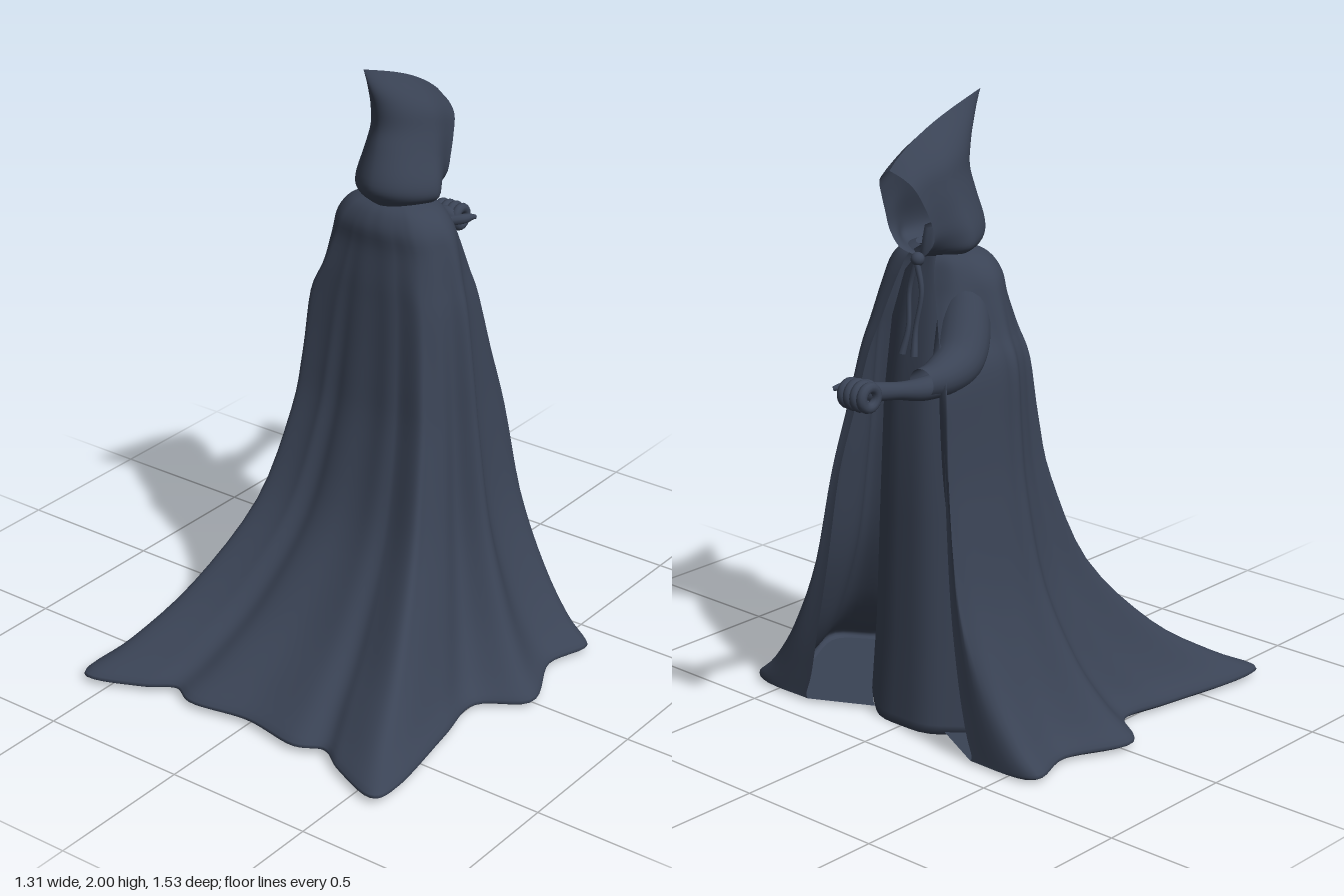
import * as THREE from 'three';

const V2 = (p) => new THREE.Vector2(p[0], p[1]);
const V3 = (p) => new THREE.Vector3(...p);
const lerp = THREE.MathUtils.lerp;
const smooth = THREE.MathUtils.smoothstep;

export function createModel() {
  const group = new THREE.Group();
  const cloth = new THREE.MeshStandardMaterial({ color: 0x3a4355, side: THREE.DoubleSide });
  cloth.name = 'slate cloth';

  const add = (name, geometry, parent = group) => {
    const mesh = new THREE.Mesh(geometry, cloth);
    mesh.name = name;
    parent.add(mesh);
    return mesh;
  };

  // Surface from rows (bottom to top) of points running round the body
  const grid = (rows, cols, fn) => {
    const pos = [], idx = [];
    for (let i = 0; i <= rows; i++) {
      for (let j = 0; j <= cols; j++) {
        pos.push(...fn(i / rows, j / cols));
        if (i < rows && j < cols) {
          const a = i * (cols + 1) + j, b = a + cols + 1;
          idx.push(a, b, a + 1, a + 1, b, b + 1);
        }
      }
    }
    const g = new THREE.BufferGeometry();
    g.setAttribute('position', new THREE.Float32BufferAttribute(pos, 3));
    g.setIndex(idx);
    g.computeVertexNormals();
    return g;
  };

  // One value read along a smooth curve through a list
  const track = (values) => {
    const c = new THREE.SplineCurve(values.map((v, i) => new THREE.Vector2(i, v)));
    return (t) => c.getPoint(t).y;
  };

  // Round tube whose radius changes along its path
  const taperTube = (points, radii, sides = 16, n = 28) => {
    const curve = new THREE.CatmullRomCurve3(points.map(V3));
    const g = new THREE.TubeGeometry(curve, n, 1, sides);
    const p = g.attributes.position, r = track(radii), v = new THREE.Vector3();
    for (let k = 0; k < p.count; k++) {
      const t = Math.floor(k / (sides + 1)) / n, c = curve.getPointAt(t);
      v.fromBufferAttribute(p, k).sub(c).multiplyScalar(r(t)).add(c);
      p.setXYZ(k, v.x, v.y, v.z);
    }
    return g;
  };

  // Cloak: wavy hem outline drawn up into a plain shoulder outline
  const mirrored = (half) => new THREE.SplineCurve(
    [...half, ...half.slice(0, -1).reverse().map(([x, z]) => [-x, z])].map(V2));
  const hem = mirrored([[0.36, -0.4], [0.6, -0.38], [0.57, -0.2], [0.655, 0.02], [0.52, 0.15], [0.55, 0.35],
    [0.6, 0.65], [0.57, 0.76], [0.4, 0.7], [0.3, 0.64], [0.2, 0.68], [0, 0.65]]);
  const shoulder = mirrored([[0.07, -0.25], [0.13, -0.23], [0.18, -0.18], [0.2, -0.13], [0.195, -0.09], [0.17, -0.05],
    [0.14, -0.025], [0.11, -0.015], [0.08, -0.008], [0.06, -0.004], [0.03, 0], [0, 0]]);
  const levels = track([0.01, 0.03, 0.1, 0.25, 0.5, 0.8, 1.0, 1.2, 1.3, 1.4, 1.47, 1.52, 1.545]);
  const spread = track([0.97, 1, 0.84, 0.63, 0.41, 0.28, 0.22, 0.16, 0.11, 0.06, 0.01, 0, 0]);
  const armSpread = track([0.97, 1, 0.84, 0.63, 0.41, 0.285, 0.245, 0.22, 0.13, 0.06, 0.01, 0, 0]);
  const train = track([0.97, 1, 0.83, 0.55, 0.27, 0.12, 0.07, 0.035, 0.02, 0, 0, 0, 0]);
  const front = track([1, 1, 1, 1, 0.93, 0.8, 0.6, 0.4, 0.25, 0.1, 0, 0, 0]);
  const armFront = track([1, 1, 1, 1, 1.02, 1.06, 1.1, 1.05, 0.5, 0.15, 0, 0, 0]);
  const gather = track([1, 1, 1, 1, 1, 1, 1, 1, 1, 1, 0.99, 0.8, 0.5]);
  const cloakPoint = (t, u) => {
    const h = hem.getPoint(u), s = shoulder.getPoint(u), y = levels(t);
    const frontness = 1 - smooth(h.y, -0.38, -0.05);
    const edge = 1 - smooth(Math.min(u, 1 - u), 0, 0.045);
    const wf = u > 0.5 ? armFront(t) : front(t);
    const side = lerp(spread(t), armSpread(t), smooth(u, 0.55, 0.75));
    const wx = lerp(side, (side + wf) / 2, edge);
    const wz = lerp(train(t), wf, frontness);
    const fold = 1 + 0.022 * Math.sin(u * 64) * Math.sin(Math.PI * Math.min(1, y / 1.5)) * (1 - edge);
    const k = gather(t) * fold;
    return [lerp(s.x, h.x, wx) * k, y, -0.13 + (lerp(s.y, h.y, wz) + 0.13) * k];
  };
  add('cloak', grid(48, 144, cloakPoint));

  // Flat underside between the robe's foot and the hem
  add('cloakUnderside', grid(6, 144, (t, u) => {
    const [x, y, z] = cloakPoint(0, u), a = lerp(-1, Math.PI + 1, u);
    return [lerp(0.28 * Math.cos(a), x, t), y, lerp(-0.06 + 0.28 * Math.sin(a), z, t)];
  }));

  // Hood: tilted sections from the neck up to the pointed ridge
  const backZ = track([-0.05, -0.005, 0.008, -0.02, -0.035, -0.02, 0.01, 0.04]);
  const backY = track([1.53, 1.57, 1.62, 1.72, 1.79, 1.86, 1.93, 2]);
  const brimZ = track([-0.24, -0.262, -0.268, -0.285, -0.31, -0.335, -0.352, -0.365]);
  const brimY = track([1.525, 1.545, 1.59, 1.65, 1.71, 1.76, 1.79, 1.81]);
  const hoodWidth = track([0.105, 0.15, 0.152, 0.126, 0.108, 0.092, 0.055, 0]);
  const brimGap = track([0.2, 0.38, 0.6, 0.75, 0.8, 0.78, 0.75, 0.7]);
  add('hood', grid(32, 56, (t, u) => {
    const side = u < 0.5 ? 1 : -1, a = 1 - Math.abs(2 * u - 1);
    const d = Math.sin(a * Math.PI / 2);
    const back = Math.pow(Math.max(0, 1 - Math.pow(d, 2.6)), 0.55);
    const x = side * hoodWidth(t) * back * lerp(brimGap(t), 1, smooth(d, 0, 0.45));
    const bow = 0.028 * t * t * Math.sin(Math.PI * Math.pow(d, 0.7));
    return [x, lerp(brimY(t), backY(t), d) + bow, lerp(brimZ(t), backZ(t), d)];
  }));

  // Robe: closed oval body under the cloak; rows are [y, rx, rz, centre z]
  const robeRows = [[0, 0, 0, -0.06], [0, 0.28, 0.28, -0.06], [0.03, 0.285, 0.28, -0.06], [0.3, 0.25, 0.235, -0.09],
    [0.7, 0.215, 0.19, -0.125], [1.05, 0.185, 0.155, -0.15], [1.3, 0.17, 0.125, -0.14], [1.45, 0.13, 0.09, -0.135],
    [1.52, 0.065, 0.06, -0.14], [1.6, 0.05, 0.05, -0.14], [1.6, 0, 0, -0.14]];
  add('robe', grid(robeRows.length - 1, 48, (t, u) => {
    const [y, rx, rz, cz] = robeRows[Math.round(t * (robeRows.length - 1))];
    const a = u * Math.PI * 2;
    const k = 1 + 0.015 * Math.sin(a * 9);
    return [Math.cos(a) * rx * k, y, cz + Math.sin(a) * rz * k];
  }));

  // Outstretched arm: broad draped sleeve and forearm
  add('sleeve', taperTube([[-0.1, 1.45, -0.16], [-0.15, 1.35, -0.2], [-0.195, 1.24, -0.28], [-0.205, 1.21, -0.37],
    [-0.21, 1.21, -0.455]], [0.06, 0.08, 0.083, 0.066, 0.046], 20));
  add('forearm', taperTube([[-0.22, 1.195, -0.34], [-0.212, 1.195, -0.46], [-0.21, 1.215, -0.57],
    [-0.208, 1.235, -0.67]], [0.04, 0.036, 0.027, 0.03]));

  // Fist: palm, four curled fingers and a thumb
  const hand = new THREE.Group();
  hand.name = 'hand';
  hand.position.set(-0.205, 1.235, -0.715);
  group.add(hand);
  const palm = add('palm', new THREE.SphereGeometry(1, 20, 14), hand);
  palm.scale.set(0.05, 0.036, 0.028);
  palm.position.set(0, 0.005, 0.032);
  for (let i = 0; i < 4; i++) {
    const finger = add('finger', new THREE.TorusGeometry(0.034 - 0.002 * Math.abs(i - 1.5), 0.0165, 10, 20), hand);
    finger.rotation.y = Math.PI / 2;
    finger.position.x = -0.04 + i * 0.026;
  }
  add('thumb', taperTube([[0.03, 0, 0.045], [0.063, 0.005, 0.02], [0.08, 0.008, -0.005], [0.088, 0.006, -0.018]],
    [0.018, 0.018, 0.015, 0.007], 10, 12), hand);

  // Neck clasp with two short hanging cords
  const clasp = add('clasp', new THREE.SphereGeometry(0.022, 14, 10));
  clasp.position.set(0, 1.515, -0.245);
  for (const side of [1, -1]) {
    add('cord', taperTube([[0, 1.51, -0.25], [side * 0.025, 1.42, -0.255], [side * 0.015, 1.3, -0.272],
      [side * 0.025, 1.22, -0.29]], [0.01, 0.008, 0.008, 0.012], 8, 16));
  }
  return group;
}
